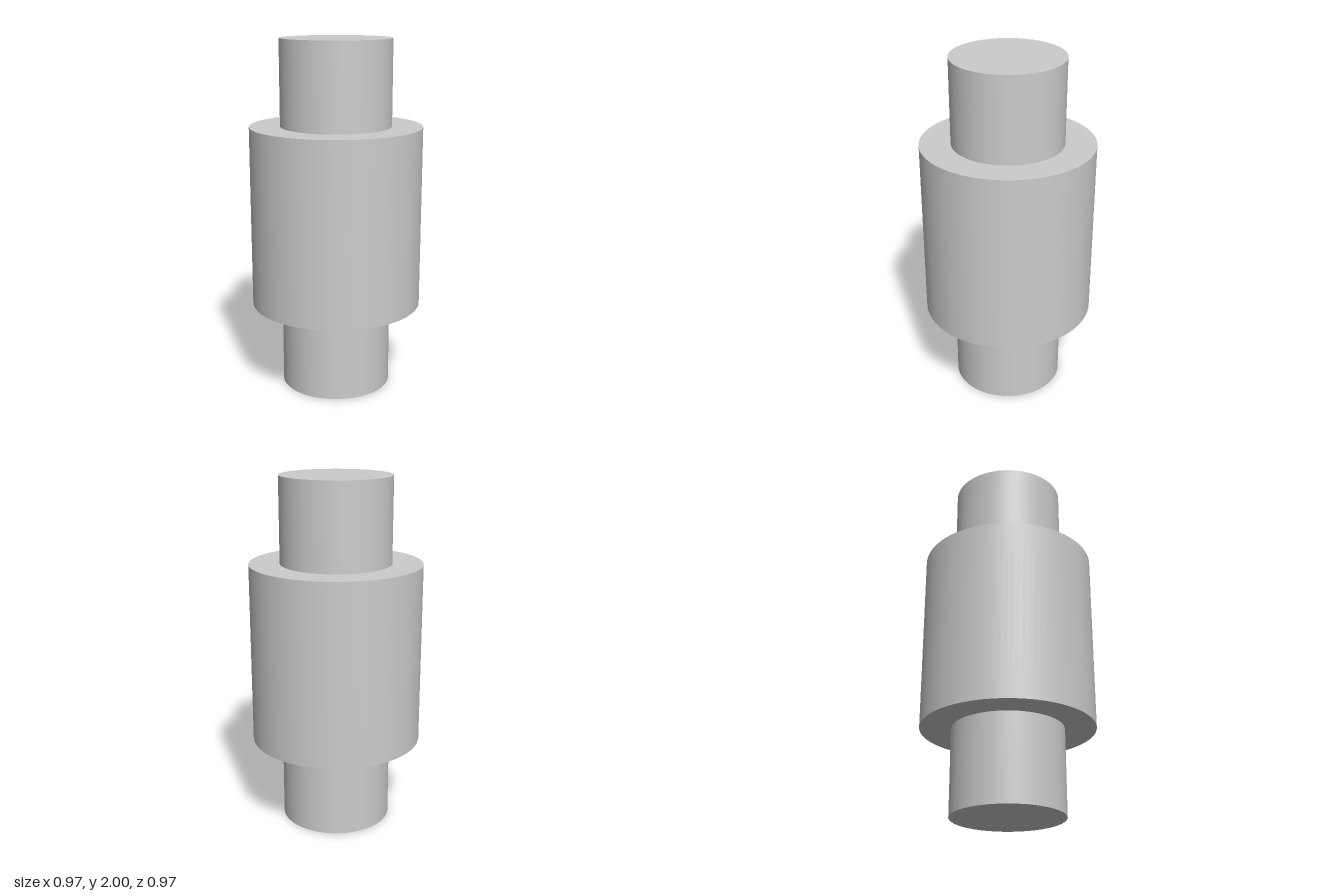
import * as THREE from 'three';

const SEGMENTS = 96;

export function createModel() {
  const model = new THREE.Group();
  model.name = 'steppedShaft';
  const steel = new THREE.MeshStandardMaterial({ color: 0xcccccc });
  steel.name = 'light grey steel';

  // Upright cylinder between two heights
  const addCylinder = (name, radius, bottom, top) => {
    const height = top - bottom;
    const mesh = new THREE.Mesh(new THREE.CylinderGeometry(radius, radius, height, SEGMENTS), steel);
    mesh.name = name;
    mesh.position.y = bottom + height / 2;
    model.add(mesh);
  };

  addCylinder('lowerJournal', 0.313, 0, 0.487);
  addCylinder('body', 0.486, 0.487, 1.517);
  addCylinder('upperJournal', 0.313, 1.517, 2);

  return model;
}
